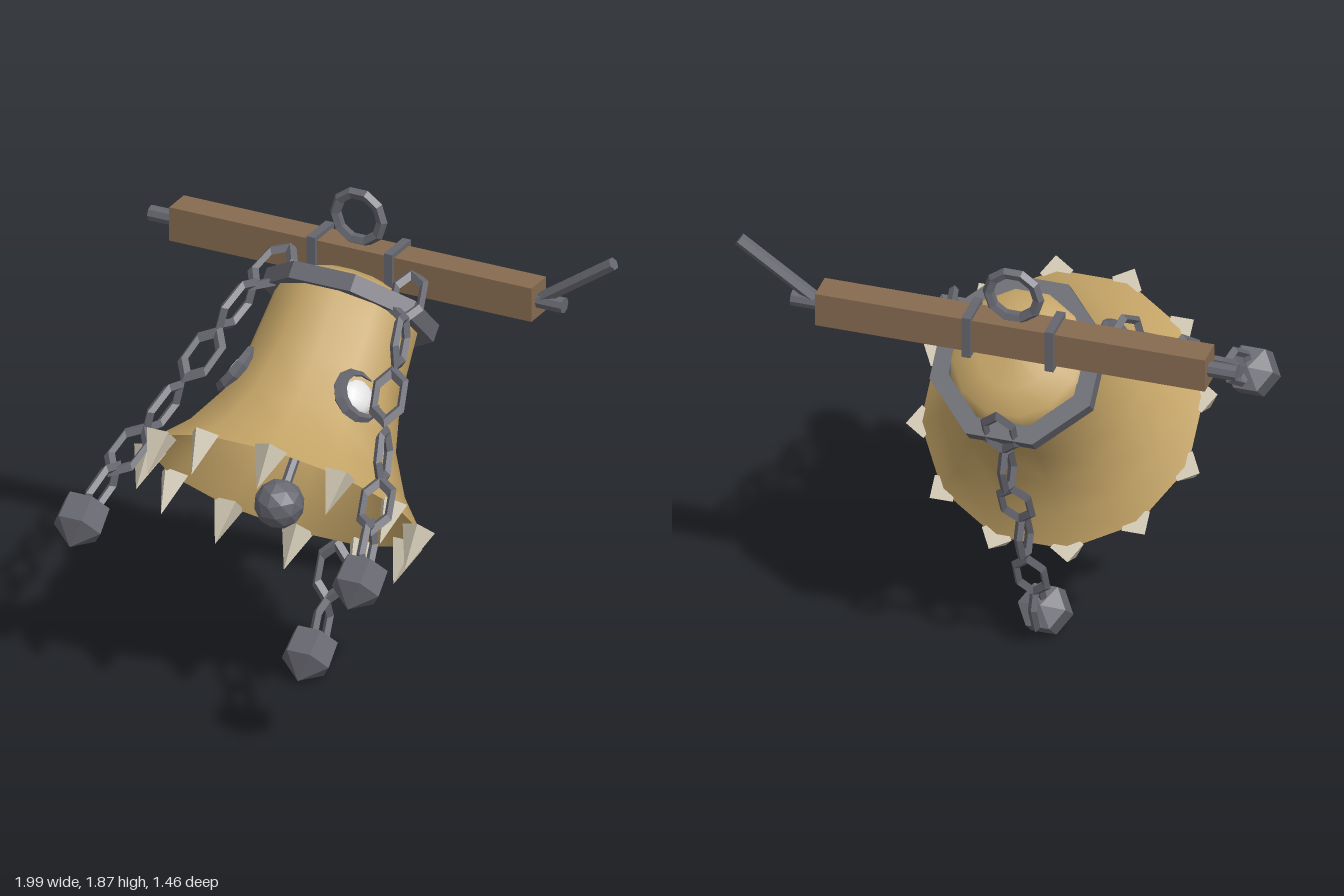
import * as THREE from 'three';

const CX = -0.11; // the bell hangs a little off centre, the crank balances it
const TILT = -0.76; // swing of the bell

function material(name, color, extra = {}) {
  const m = new THREE.MeshStandardMaterial({ color, ...extra });
  m.name = name;
  return m;
}

export function createModel() {
  const brass = material('brass', 0xc3a366, { side: THREE.DoubleSide });
  const iron = material('iron', 0x66666f, { flatShading: true });
  const wood = material('wood', 0x866b50, { flatShading: true });
  const bone = material('bone', 0xcfc6b2, { flatShading: true });
  const white = material('eye white', 0xe2e2e2);

  const model = new THREE.Group();
  model.name = 'swingingBell';
  const add = (parent, name, geometry, mat, x = 0, y = 0, z = 0) => {
    const mesh = new THREE.Mesh(geometry, mat);
    mesh.name = name;
    mesh.position.set(x, y, z);
    parent.add(mesh);
    return mesh;
  };
  const lathe = (pts, sides, start) =>
    new THREE.LatheGeometry(pts.map(([r, y]) => new THREE.Vector2(r, y)), sides, start);

  // Tilted bell, local origin at the centre of its mouth
  const bell = new THREE.Group();
  bell.name = 'bell';
  bell.position.set(CX, 0.865, 0.115);
  bell.rotation.x = TILT;
  model.add(bell);

  add(bell, 'bellBody', lathe([
    [0.55, 0], [0.45, 0.11], [0.36, 0.27], [0.31, 0.47], [0.295, 0.65],
    [0.285, 0.77], [0.25, 0.83], [0.15, 0.87], [0, 0.89],
  ], 12, Math.PI / 12), brass);

  // Octagonal collar
  add(bell, 'collar', lathe([
    [0.27, 0.74], [0.345, 0.74], [0.345, 0.81], [0.27, 0.81], [0.27, 0.74],
  ], 8, Math.PI / 8), iron, 0, 0, -0.015);

  // Clapper
  add(bell, 'clapperRod', new THREE.CylinderGeometry(0.02, 0.02, 0.85, 6), iron, 0, 0.42, 0);
  add(bell, 'clapperBall', new THREE.IcosahedronGeometry(0.097, 1), iron, 0, -0.053, 0);

  // Spikes around the rim
  const spike = new THREE.ConeGeometry(0.065, 0.17, 4).rotateX(Math.PI);
  for (let i = 0; i < 12; i++) {
    const a = (i + 0.5) * Math.PI / 6;
    add(bell, 'spike', spike, bone, 0.54 * Math.sin(a), -0.075, 0.54 * Math.cos(a)).rotation.y = a;
  }

  // Eyes with a tapered open lid
  const arc = 5.2, lidR = 0.092;
  const lid = new THREE.TorusGeometry(lidR, 0.028, 5, 10, arc);
  const uv = lid.attributes.uv, pos = lid.attributes.position;
  for (let i = 0; i < pos.count; i++) {
    const a = uv.getX(i) * arc;
    const k = 0.1 + 0.9 * Math.sin(Math.PI * uv.getX(i));
    const cx = lidR * Math.cos(a), cy = lidR * Math.sin(a);
    pos.setXYZ(i, cx + (pos.getX(i) - cx) * k, cy + (pos.getY(i) - cy) * k, pos.getZ(i) * k);
  }
  lid.computeVertexNormals();
  for (const s of [1, -1]) {
    const eye = new THREE.Group();
    eye.name = s > 0 ? 'leftEye' : 'rightEye';
    eye.position.set(s * 0.25, 0.37, 0.19);
    eye.rotation.set(-0.3, s * 0.92, 0, 'YXZ');
    bell.add(eye);
    add(eye, 'eyeball', new THREE.SphereGeometry(0.075, 12, 8), white).scale.z = 0.5;
    add(eye, 'eyelid', lid, iron, 0, 0, 0.02).rotation.z = s > 0 ? 1.1 : Math.PI - 1.1 - arc;
  }

  // Beam, axle, straps, crank and hanging ring
  add(model, 'beam', new THREE.BoxGeometry(1.55, 0.14, 0.12), wood, -0.115, 1.58, -0.5);
  add(model, 'axle', new THREE.CylinderGeometry(0.032, 0.032, 1.77, 8).rotateZ(Math.PI / 2), iron,
    -0.115, 1.578, -0.5);
  const crank = add(model, 'crank', new THREE.CylinderGeometry(0.026, 0.026, 0.39, 6), iron,
    0.82, 1.69, -0.5);
  crank.rotation.z = -Math.atan2(0.32, 0.22);
  // Straps are open frames wrapped around the beam
  for (const x of [-0.275, 0.055]) {
    for (const s of [1, -1]) {
      add(model, 'strapPlate', new THREE.BoxGeometry(0.035, 0.018, 0.156), iron, x, 1.58 + s * 0.079, -0.5);
      add(model, 'strapSide', new THREE.BoxGeometry(0.035, 0.176, 0.018), iron, x, 1.58, -0.5 + s * 0.069);
    }
  }
  add(model, 'hangingRing', new THREE.TorusGeometry(0.1, 0.023, 5, 10), iron, CX, 1.757, -0.5);

  // Chains: each link turned a quarter against the one before
  const link = new THREE.TorusGeometry(0.063, 0.018, 4, 6).scale(1.7, 1, 1);
  const weight = lathe([[0, -0.13], [0.1, -0.05], [0.095, 0.06], [0, 0.085]], 6, Math.PI / 6);
  function chain(name, centres, end) {
    const group = new THREE.Group();
    group.name = name;
    group.position.x = CX;
    model.add(group);
    const pts = centres.map((p) => new THREE.Vector3(...p));
    pts.forEach((p, i) => {
      const a = pts[Math.max(i - 1, 0)], b = pts[Math.min(i + 1, pts.length - 1)];
      const t = b.clone().sub(a).normalize();
      const side = new THREE.Vector3(1, 0, 0).addScaledVector(t, -t.x).normalize();
      const up = t.clone().cross(side);
      const w = i % 2 ? up : side;
      const mesh = add(group, 'chainLink', link, iron, p.x, p.y, p.z);
      mesh.quaternion.setFromRotationMatrix(
        new THREE.Matrix4().makeBasis(t, w, t.clone().cross(w)));
    });
    add(group, 'chainWeight', weight, iron, ...end).rotation.x = -0.88;
  }
  for (const s of [1, -1]) {
    chain(s > 0 ? 'leftChain' : 'rightChain', [
      [s * 0.29, 1.55, -0.35], [s * 0.35, 1.45, -0.17], [s * 0.40, 1.31, 0.02],
      [s * 0.47, 1.15, 0.20], [s * 0.53, 1.03, 0.37], [s * 0.57, 0.92, 0.52],
    ], [s * 0.595, 0.84, 0.63]);
  }
  chain('backChain', [
    [0, 1.24, -0.67], [0, 1.02, -0.58], [0, 0.80, -0.47],
    [0, 0.59, -0.37], [0, 0.36, -0.28], [0, 0.16, -0.19],
  ], [0, 0.1, -0.1]);

  return model;
}
